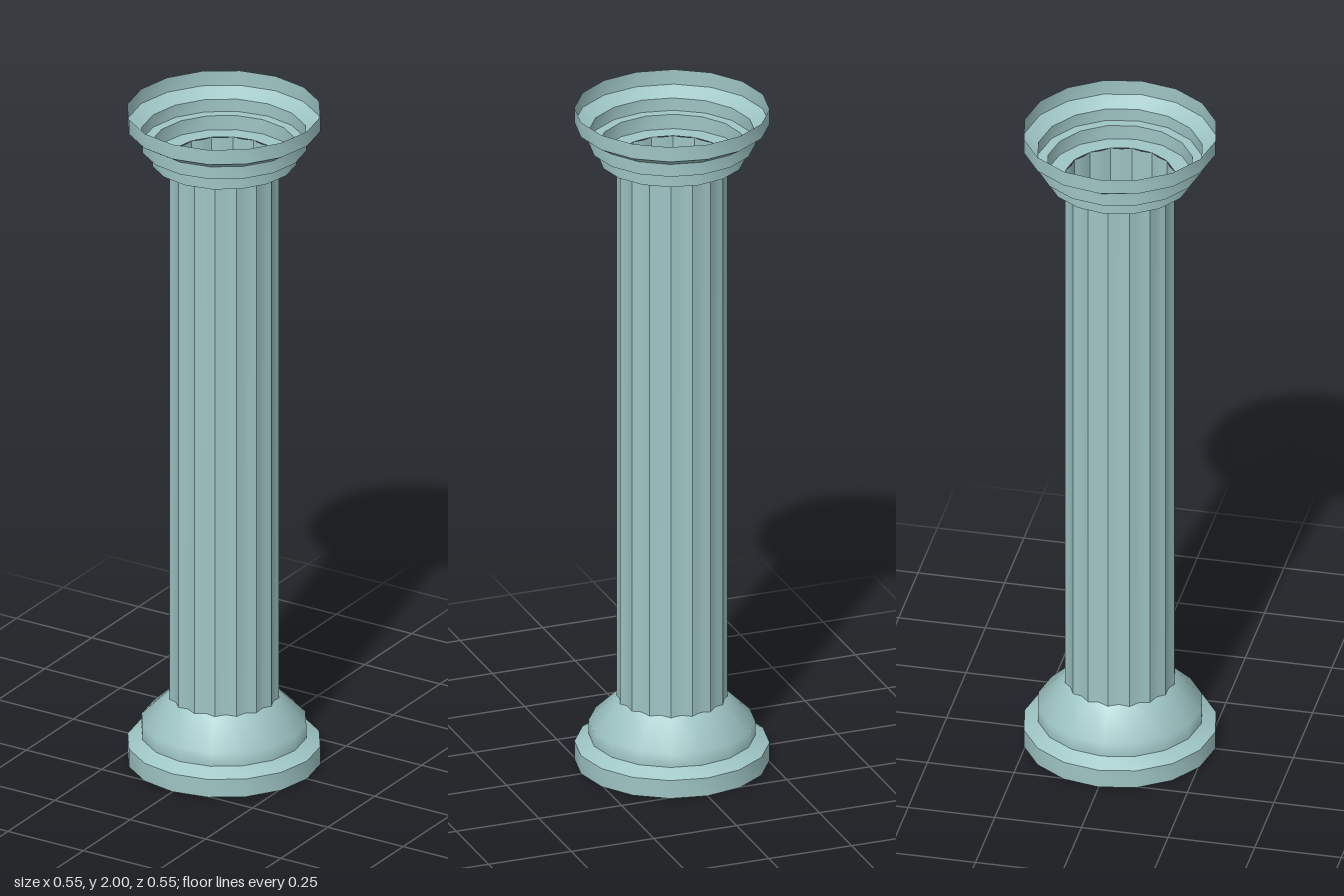
import * as THREE from 'three';
import { toCreasedNormals } from 'three/addons/utils/BufferGeometryUtils.js';

const SIDES = 16;
const material = new THREE.MeshStandardMaterial({ color: 0x9fc5c5, side: THREE.DoubleSide });

// Open ring turned from a [radius, height] profile, listed bottom to top
function turned(name, profile) {
  const points = profile.map(([r, y]) => new THREE.Vector2(r, y));
  const mesh = new THREE.Mesh(toCreasedNormals(new THREE.LatheGeometry(points, SIDES), 0.9), material);
  mesh.name = name;
  return mesh;
}

// Open tube with a sharp ridge at each side and a shallow flute between ridges
function flutedShaft(bottom, top) {
  const flute = [0.157, 0.1525, 0.150, 0.1525];
  const count = SIDES * flute.length;
  const geometry = new THREE.CylinderGeometry(1, 1, top - bottom, count, 1, true);
  const pos = geometry.attributes.position;
  for (let i = 0; i < pos.count; i++) {
    const step = i % (count + 1);
    const r = flute[step % flute.length];
    pos.setX(i, pos.getX(i) * r);
    pos.setZ(i, pos.getZ(i) * r);
  }
  geometry.translate(0, (top + bottom) / 2, 0);
  const mesh = new THREE.Mesh(toCreasedNormals(geometry, 0.6), material);
  mesh.name = 'flutedShaft';
  return mesh;
}

export function createModel() {
  const column = new THREE.Group();
  column.name = 'column';

  // Foot: plinth band, short step, then a rounded shoulder up to the shaft
  column.add(turned('base', [
    [0.275, 0], [0.275, 0.055], [0.235, 0.078], [0.235, 0.12], [0.153, 0.2],
  ]));

  column.add(flutedShaft(0.193, 1.848));

  // Stepped head, widening towards the open top
  column.add(turned('capital', [
    [0.157, 1.848], [0.207, 1.848], [0.207, 1.892], [0.235, 1.892],
    [0.235, 1.93], [0.275, 1.955], [0.275, 2],
  ]));

  return column;
}
